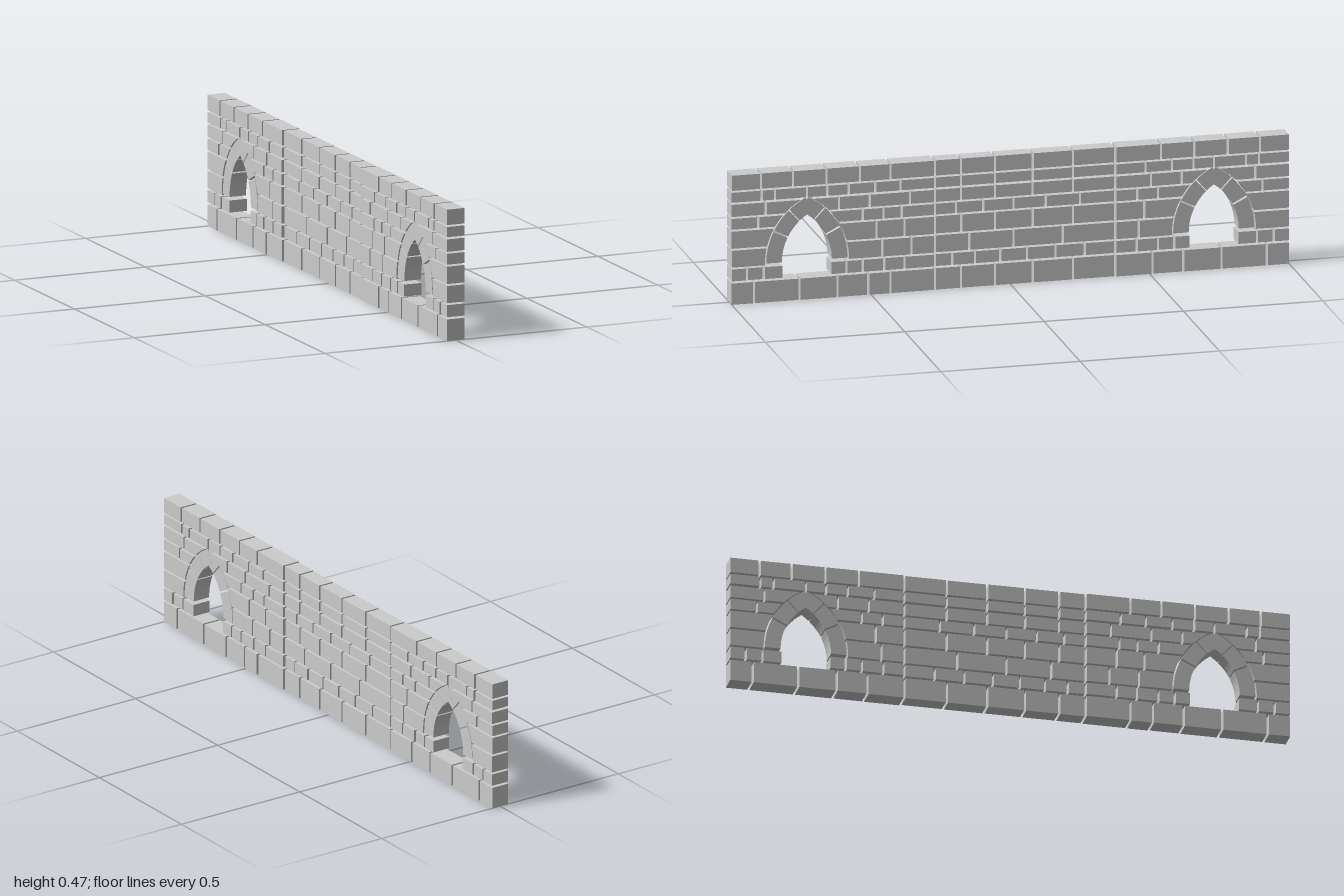
import * as THREE from 'three';

const GAP = 0.008;                 // open joint between stones
const ARCH_Z = 0.73;               // both arches sit at +/- this z
const SPRING_Y = 0.14, OFFSET = 0.11, R_OUT = 0.256, R_IN = 0.2;
const MID_START = 0.27, MID_END = -0.377;   // thinner middle stretch
const JAMB = 0.088;                // half width of the opening below the arch

// Courses from the bottom up. ends: joints mirrored at both ends of the wall,
// extra: one more joint on the +z side, middle: number of stones in the middle
const COURSES = [
  { y0: 0, y1: 0.077, ends: [0.92, 0.757, 0.62, 0.51], extra: 0.43, middle: 5 },
  { y0: 0.085, y1: 0.128, ends: [0.945, 0.885, 0.73, 0.588, 0.53, 0.453], extra: 0.38, middle: 7, arch: true },
  { y0: 0.135, y1: 0.196, ends: [0.73, 0.46], extra: 0.355, middle: 4, arch: true },
  { y0: 0.203, y1: 0.265, ends: [0.73, 0.48], extra: 0.38, middle: 5, arch: true },
  { y0: 0.272, y1: 0.311, ends: [0.905, 0.73, 0.53, 0.455], extra: 0.39, middle: 6, arch: true },
  { y0: 0.318, y1: 0.362, ends: [0.878, 0.73, 0.615, 0.505], extra: 0.36, middle: 5, arch: true },
  { y0: 0.37, y1: 0.406, ends: [0.892, 0.845, 0.73, 0.657, 0.58, 0.485], extra: 0.395, middle: 5 },
  { y0: 0.413, y1: 0.468, ends: [0.895, 0.78, 0.66, 0.54], extra: 0.43, middle: 5 },
];

const material = new THREE.MeshStandardMaterial({ color: 0xcccccc, flatShading: true });

// All joints of a course from z = 1 to z = -1; middle stones widen towards -z
function jointsOf({ ends, extra, middle }) {
  const joints = [1, ...ends, extra];
  for (let i = 0; i <= middle; i++) {
    joints.push(THREE.MathUtils.lerp(MID_START, MID_END, (i / middle) ** 1.2));
  }
  return [...joints, ...ends.map((z) => -z).reverse(), -1];
}

// Extrude a (z, y) outline through the wall, from xMin to xMax
function stone(name, points, xMin, xMax) {
  const shape = new THREE.Shape(points.map(([z, y]) => new THREE.Vector2(z, y)));
  const geometry = new THREE.ExtrudeGeometry(shape, { depth: xMax - xMin, bevelEnabled: false });
  geometry.rotateY(-Math.PI / 2);
  geometry.translate(xMax, 0, 0);
  const mesh = new THREE.Mesh(geometry, material);
  mesh.name = name;
  return mesh;
}

// Half width kept free of bricks around an arch centre at height y
function clearance(y) {
  if (y < 0.132) return JAMB;
  const dy = y - SPRING_Y;
  return Math.max(GAP / 2, Math.sqrt(R_OUT * R_OUT - dy * dy) - OFFSET + 0.005);
}

// Push z out of the arch, staying on the side where the brick lies
function clearOfArch(z, y, brickCentre) {
  const c = Math.sign(brickCentre) * ARCH_Z;
  const w = clearance(y);
  return brickCentre > c ? Math.max(z, c + w) : Math.min(z, c - w);
}

function brick(zLow, zHigh, { y0, y1, arch }, jitter) {
  const centre = (zLow + zHigh) / 2;
  const steps = arch ? 4 : 1;
  const low = [], high = [];
  for (let i = 0; i <= steps; i++) {
    const y = THREE.MathUtils.lerp(y0, y1, i / steps);
    const fit = (z) => (arch ? clearOfArch(z, y, centre) : z);
    low.push([fit(zLow), y]);
    high.push([fit(zHigh), y]);
  }
  const inMiddle = centre < MID_START && centre > MID_END;
  const xMin = inMiddle ? -0.028 : -0.034;
  const xMax = inMiddle ? 0.03 : 0.033;
  return stone('brick', [...high, ...low.reverse()], xMin - jitter, xMax - jitter);
}

// Wedge stone between two angles, on one side of the pointed arch
function archStone(centre, side, a0, a1, inset) {
  const point = (r, deg) => {
    const a = THREE.MathUtils.degToRad(deg);
    return [centre + side * (r * Math.cos(a) - OFFSET), SPRING_Y + r * Math.sin(a)];
  };
  const outer = [], inner = [];
  const steps = 4;
  for (let i = 0; i <= steps; i++) {
    const a = THREE.MathUtils.lerp(a0, a1, i / steps);
    outer.push(point(R_OUT, a));
    inner.push(point(R_IN, a));
  }
  return stone('archStone', [...outer, ...inner.reverse()], -0.033 + inset, 0.032 - inset);
}

export function createModel() {
  const wall = new THREE.Group();
  wall.name = 'stoneWall';

  // Brick courses, with slightly uneven faces
  COURSES.forEach((course, row) => {
    const group = new THREE.Group();
    group.name = `course${row + 1}`;
    const joints = jointsOf(course);
    const last = joints.length - 2;
    for (let i = 0; i <= last; i++) {
      const zHigh = joints[i] - (i === 0 ? 0 : GAP / 2);
      const zLow = joints[i + 1] + (i === last ? 0 : GAP / 2);
      const jitter = 0.0008 * Math.sin(row * 5.3 + i * 2.7);
      group.add(brick(zLow, zHigh, course, jitter));
    }
    wall.add(group);
  });

  // Two pointed arches; the top stones cross at the apex
  for (const centre of [ARCH_Z, -ARCH_Z]) {
    const arch = new THREE.Group();
    arch.name = 'pointedArch';
    for (const side of [1, -1]) {
      const inset = side > 0 ? 0 : 0.001;
      for (const [a0, a1] of [[0, 26], [27.5, 46.5], [47.5, 63.5]]) {
        arch.add(archStone(centre, side, a0, a1, inset));
      }
    }
    wall.add(arch);
  }
  return wall;
}
